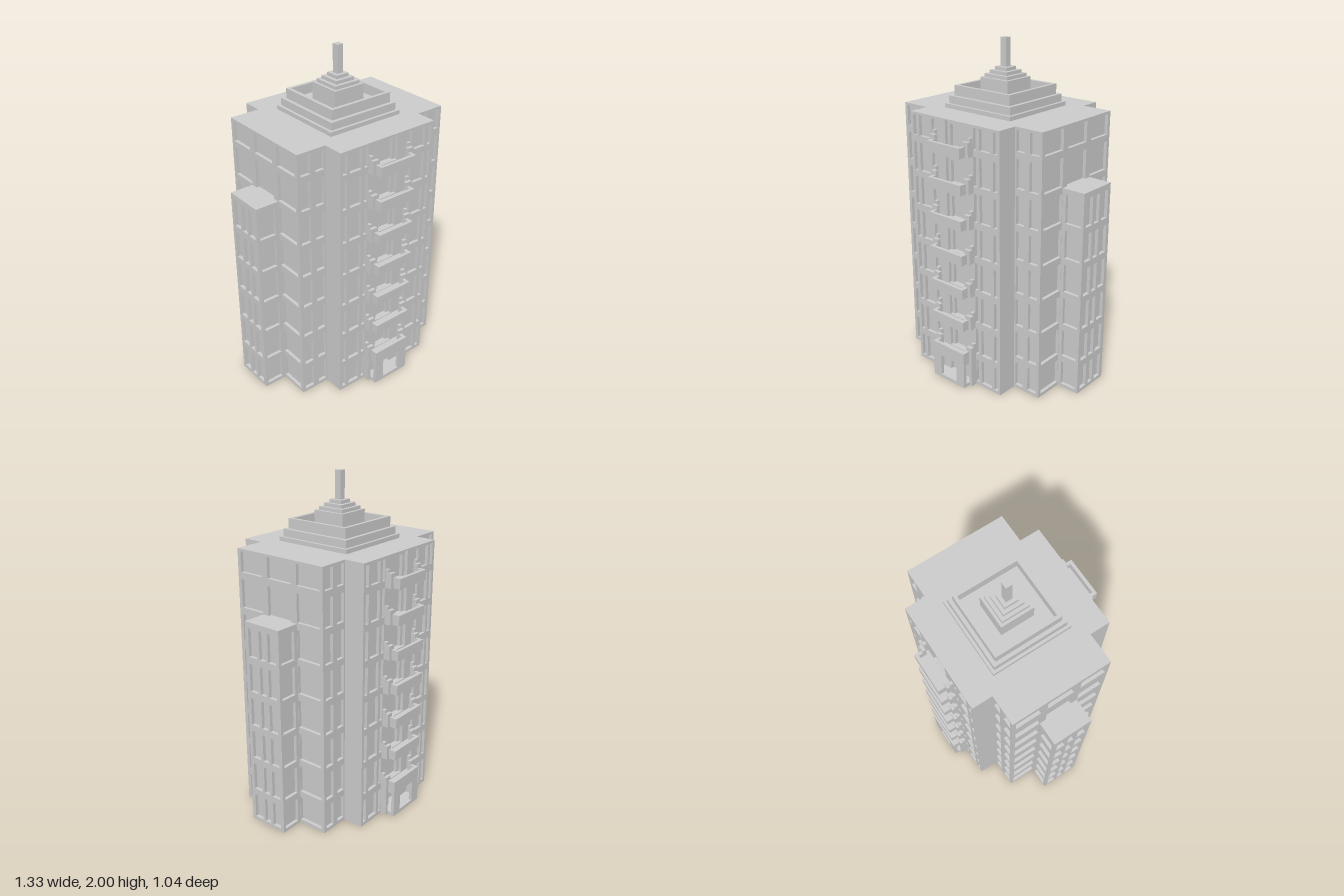
import * as THREE from 'three';

const mat = new THREE.MeshStandardMaterial({ color: 0xcccccc, flatShading: true });
const PITCH = 0.209, D = 0.02, TOP = 1.6, WING_TOP = 1.25;

export function createModel() {
  const model = new THREE.Group();

  function add(parent, name, geometry) {
    const mesh = new THREE.Mesh(geometry, mat);
    mesh.name = name;
    parent.add(mesh);
    return mesh;
  }

  // Box given by its limits on each axis
  function box(parent, name, x0, x1, y0, y1, z0, z1) {
    const g = new THREE.BoxGeometry(x1 - x0, y1 - y0, z1 - z0);
    g.translate((x0 + x1) / 2, (y0 + y1) / 2, (z0 + z1) / 2);
    return add(parent, name, g);
  }

  function rect(target, x0, x1, y0, y1) {
    target.moveTo(x0, y0);
    target.lineTo(x1, y0);
    target.lineTo(x1, y1);
    target.lineTo(x0, y1);
    target.closePath();
    return target;
  }

  // Wall slab with openings, its outer face at distance `out` from the axis
  function wall(parent, name, u0, u1, top, out, holes) {
    const shape = rect(new THREE.Shape(), u0, u1, 0, top);
    holes.forEach(h => shape.holes.push(rect(new THREE.Path(), ...h)));
    const g = new THREE.ExtrudeGeometry(shape, { depth: D, bevelEnabled: false });
    g.translate(0, 0, out - D);
    return add(parent, name, g);
  }

  // One window per column and floor
  function windows(columns, first, last) {
    const holes = [];
    for (let i = first; i < last; i++) {
      const y0 = Math.max(0.02, 0.002 + i * PITCH);
      const y1 = Math.min(1.585, 0.17 + i * PITCH);
      columns.forEach(([a, b]) => holes.push([a, b, y0, y1]));
    }
    return holes;
  }
  const mirror = cols => cols.concat(cols.map(([a, b]) => [-b, -a]));

  // Door openings, one per floor
  function doors(half, height) {
    const holes = [];
    for (let i = 0; i < 8; i++) {
      const floor = i ? 0.17 + (i - 1) * PITCH : 0;
      holes.push([-half, half, floor + 0.02, floor + (i ? height : height - 0.02)]);
    }
    return holes;
  }

  // Solid cores behind the walls
  box(model, 'centralCore', -0.335, 0.335, 0, TOP, -0.435 + 2 * D, 0.435 - 2 * D);
  box(model, 'mainCore', -0.52 + D, 0.52 - D, 0, TOP, -0.31 + D, 0.31 - D);
  box(model, 'wingCore', -0.665 + D, 0.665 - D, 0, WING_TOP, -0.125 + D, 0.125 - D);

  // Front and back facades
  for (const [side, angle] of [['front', 0], ['back', Math.PI]]) {
    const facade = new THREE.Group();
    facade.name = side + 'Facade';
    facade.rotation.y = angle;
    model.add(facade);

    const cols = mirror([[0.147, 0.17], [0.19, 0.27], [0.29, 0.317]]);
    wall(facade, 'centralWall', -0.335, 0.335, TOP, 0.435,
      [...windows(cols, 0, 8), ...doors(0.063, 0.168)]);
    wall(facade, 'doorSurround', -0.335, 0.335, TOP, 0.435 - D, doors(0.042, 0.148));
    for (const s of [-1, 1]) {
      const span = (a, b) => s > 0 ? [a, b] : [-b, -a];
      wall(facade, 'steppedWall', ...span(0.335, 0.52), TOP, 0.31,
        windows([span(0.345, 0.402), span(0.437, 0.5)], 0, 8));
      wall(facade, 'wingWall', ...span(0.52, 0.665), WING_TOP, 0.125,
        windows([span(0.543, 0.647)], 0, 6));
    }
    for (let i = 0; i < 7; i++) facade.add(balcony(0.17 + i * PITCH));
    facade.add(porch());
  }

  // Side facades
  for (const [side, angle] of [['left', Math.PI / 2], ['right', -Math.PI / 2]]) {
    const facade = new THREE.Group();
    facade.name = side + 'Facade';
    facade.rotation.y = angle;
    model.add(facade);
    wall(facade, 'sideWall', -0.31 + D, 0.31 - D, TOP, 0.52, [
      ...windows(mirror([[0.127, 0.288]]), 0, 8),
      [-0.085, 0.085, WING_TOP, 0.17 + 6 * PITCH],
      ...windows([[-0.085, 0.085]], 7, 8)]);
    wall(facade, 'wingEndWall', -0.125 + D, 0.125 - D, WING_TOP, 0.665,
      windows(mirror([[0.042, 0.102]]).concat([[-0.022, 0.022]]), 0, 6));
  }

  // Stepped balcony with a hollow centre
  function balcony(y) {
    const g = new THREE.Group();
    g.name = 'balcony';
    box(g, 'rearSlab', -0.145, 0.145, y, y + 0.015, 0.43, 0.475);
    box(g, 'frontSlab', -0.125, 0.125, y, y + 0.015, 0.475, 0.52);
    box(g, 'frontRail', -0.125, 0.125, y, y + 0.06, 0.5, 0.52);
    for (const s of [-1, 1]) {
      const steps = [[0.125, 0.145, 0.43, 0.455, 0.105],
        [0.105, 0.145, 0.455, 0.475, 0.085], [0.105, 0.125, 0.475, 0.5, 0.06]];
      for (const [a, b, z0, z1, h] of steps) {
        box(g, 'sideRail', s > 0 ? a : -b, s > 0 ? b : -a, y, y + h, z0, z1);
      }
    }
    return g;
  }

  // Entrance porch under the lowest balcony
  function porch() {
    const g = new THREE.Group();
    g.name = 'porch';
    box(g, 'rearStep', -0.145, 0.145, 0, 0.02, 0.43, 0.475);
    box(g, 'frontStep', -0.125, 0.125, 0, 0.02, 0.475, 0.52);
    box(g, 'lintel', -0.125, 0.125, 0.15, 0.17, 0.475, 0.52);
    for (const s of [-1, 1]) {
      const post = (name, a, b, z0, z1) =>
        box(g, name, s > 0 ? a : -b, s > 0 ? b : -a, 0.02, 0.17, z0, z1);
      post('frontPost', 0.063, 0.125, 0.5, 0.52);
      post('rearPost', 0.125, 0.145, 0.43, 0.475);
    }
    return g;
  }

  // Roof tiers and spire: half width, bottom, top
  const roof = new THREE.Group();
  roof.name = 'roof';
  model.add(roof);
  const tiers = [[0.247, 1.6, 1.625], [0.23, 1.625, 1.67], [0.102, 1.67, 1.775],
    [0.085, 1.775, 1.795], [0.064, 1.795, 1.815], [0.042, 1.815, 1.835]];
  for (const [r, y0, y1] of tiers) box(roof, 'roofTier', -r, r, y0, y1, -r, r);
  box(roof, 'spire', -0.02, 0.02, 1.835, 2, -0.02, 0.02);

  // Open parapet around the upper tiers
  const ring = rect(new THREE.Shape(), -0.208, 0.208, -0.208, 0.208);
  ring.holes.push(rect(new THREE.Path(), -0.187, 0.187, -0.187, 0.187));
  const parapet = new THREE.ExtrudeGeometry(ring, { depth: 0.06, bevelEnabled: false });
  parapet.rotateX(-Math.PI / 2).translate(0, 1.67, 0);
  add(roof, 'parapet', parapet);

  return model;
}
